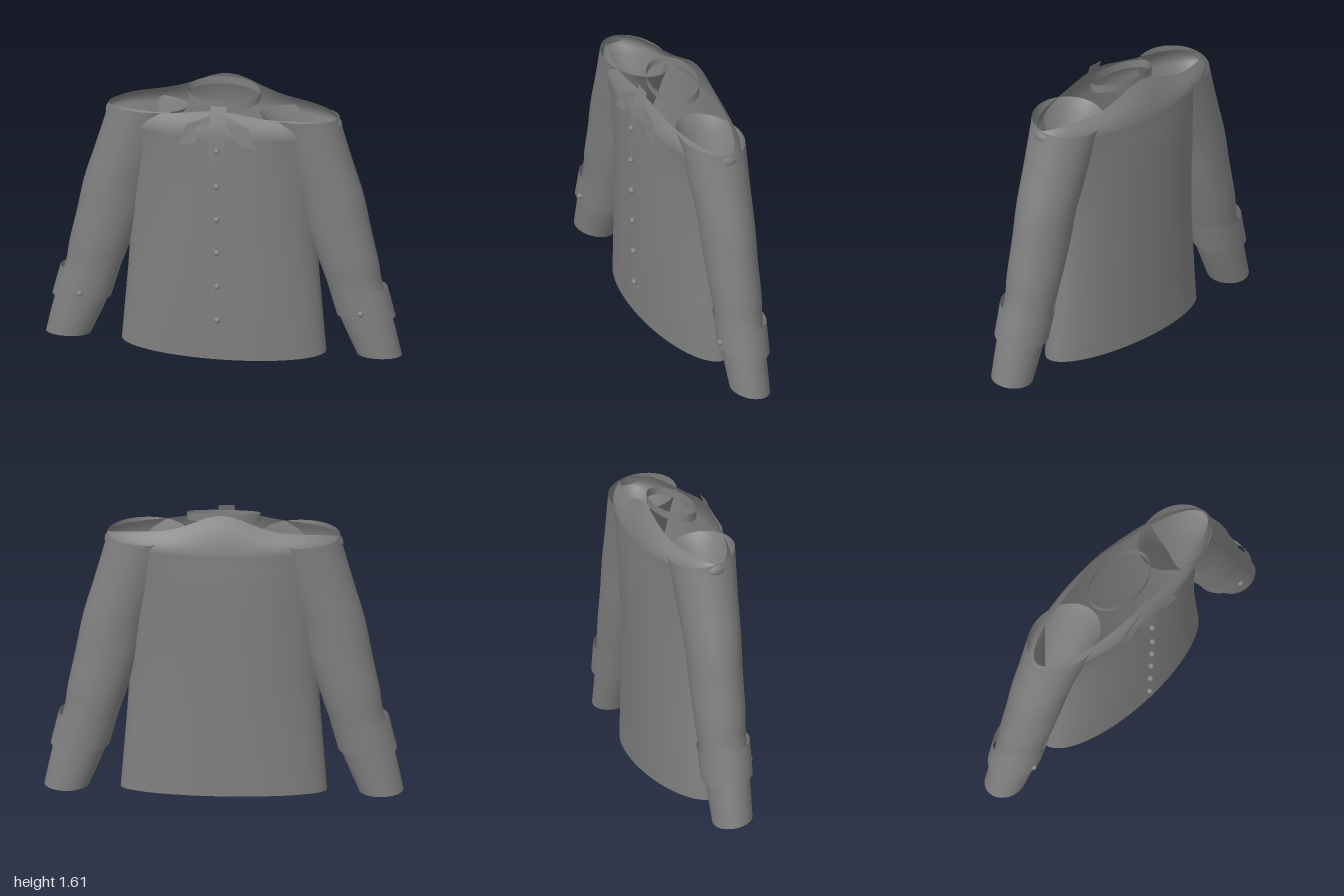
import * as THREE from 'three';

const cloth = new THREE.MeshStandardMaterial({ color: 0x808080, side: THREE.DoubleSide });
cloth.name = 'grey cloth';

// Open tube through oval rings [y, centreX, centreZ, radiusX, radiusZ], listed bottom to top.
function loft(rings, { steps = 4, sides = 56, adjust = (p) => p } = {}) {
  const rows = [];
  const cubic = (a, b, c, d, t) =>
    b + 0.5 * t * (c - a + t * (2 * a - 5 * b + 4 * c - d + t * (3 * (b - c) + d - a)));
  const last = rings.length - 1;
  for (let i = 0; i < last; i++) {
    const [a, b, c, d] = [i - 1, i, i + 1, i + 2].map((k) => rings[Math.min(Math.max(k, 0), last)]);
    for (let s = 0; s < steps; s++) rows.push(b.map((_, k) => cubic(a[k], b[k], c[k], d[k], s / steps)));
  }
  rows.push(rings[last]);
  const positions = [];
  const index = [];
  rows.forEach(([y, cx, cz, rx, rz], r) => {
    for (let j = 0; j < sides; j++) {
      const t = (j / sides) * Math.PI * 2;
      const p = adjust(new THREE.Vector3(cx + rx * Math.sin(t), y, cz + rz * Math.cos(t)));
      positions.push(p.x, p.y, p.z);
      if (r === 0) continue;
      const a = (r - 1) * sides + j;
      const b = (r - 1) * sides + ((j + 1) % sides);
      index.push(a, b, b + sides, a, b + sides, a + sides);
    }
  });
  const geometry = new THREE.BufferGeometry();
  geometry.setAttribute('position', new THREE.Float32BufferAttribute(positions, 3));
  geometry.setIndex(index);
  geometry.computeVertexNormals();
  return geometry;
}

export function createModel() {
  const model = new THREE.Group();
  model.name = 'shirt';

  const add = (name, geometry, x = 0, y = 0, z = 0) => {
    const mesh = new THREE.Mesh(geometry, cloth);
    mesh.name = name;
    mesh.position.set(x, y, z);
    model.add(mesh);
    return mesh;
  };

  // Torso: oval tube, its upper rim rising towards the neck
  const raiseNeck = (p) => {
    const k = THREE.MathUtils.clamp((p.y - 1.42) / 0.06, 0, 1);
    const bump = Math.exp(-((p.x / 0.22) ** 2));
    const shoulder = 0.03 * (1 - Math.min(1, Math.abs(p.x) / 0.64) ** 6);
    p.y += k * (shoulder + bump * (p.z > 0 ? 0.05 : 0.11));
    return p;
  };
  add('torso', loft([
    [0.02, 0, -0.025, 0.575, 0.205],
    [0.3, 0, -0.022, 0.552, 0.212],
    [0.6, 0, -0.021, 0.53, 0.219],
    [0.9, 0, -0.022, 0.53, 0.225],
    [1.2, 0, -0.024, 0.56, 0.23],
    [1.36, 0, -0.022, 0.62, 0.23],
    [1.43, 0, -0.02, 0.665, 0.226],
    [1.48, 0, -0.012, 0.645, 0.178],
  ], { sides: 80, adjust: raiseNeck }));

  // Collar: low oval band, higher at the back
  add('collar', loft([
    [1.55, 0, -0.025, 0.205, 0.125],
    [1.595, 0, -0.025, 0.205, 0.125],
  ], { steps: 1, adjust: (p) => { p.y -= p.z * 0.16; return p; } }));

  // Sleeves, cuffs and cuff buttons
  const tilt = (p) => { p.y += (p.z + 0.025) * 0.19; return p; };
  const button = new THREE.SphereGeometry(0.017, 16, 12);
  for (const [side, s] of [['left', 1], ['right', -1]]) {
    const mirror = (rings) => rings.map(([y, x, ...rest]) => [y, s * x, ...rest]);
    add(side + 'Sleeve', loft(mirror([
      [0.027, 0.875, -0.02, 0.125, 0.11],
      [0.25, 0.802, -0.02, 0.148, 0.12],
      [0.46, 0.735, -0.025, 0.155, 0.13],
      [0.6, 0.7, -0.025, 0.168, 0.14],
      [0.8, 0.645, -0.025, 0.18, 0.146],
      [1.0, 0.6, -0.025, 0.185, 0.154],
      [1.2, 0.53, -0.025, 0.195, 0.165],
      [1.4, 0.46, -0.025, 0.207, 0.178],
      [1.48, 0.425, -0.025, 0.222, 0.185],
    ]), { adjust: tilt }));
    add(side + 'Cuff', loft(mirror([
      [0.265, 0.8, -0.022, 0.164, 0.14],
      [0.445, 0.752, -0.025, 0.167, 0.145],
    ]), { steps: 2, adjust: tilt }));
    add(side + 'CuffButton', button, s * 0.79, 0.335, 0.118);
  }

  // Button strip following the chest
  const stripLine = [[0.17, 0.205], [0.5, 0.208], [0.9, 0.215], [1.25, 0.219], [1.42, 0.218], [1.5, 0.2], [1.59, 0.165]];
  const strip = new THREE.PlaneGeometry(0.09, 1, 1, stripLine.length - 1);
  const sp = strip.attributes.position;
  for (let i = 0; i < sp.count; i++) {
    const [y, z] = stripLine[stripLine.length - 1 - Math.floor(i / 2)];
    sp.setY(i, y);
    sp.setZ(i, z);
  }
  strip.computeVertexNormals();
  add('buttonStrip', strip);

  // Front buttons
  [[0.285, 0.222], [0.498, 0.226], [0.71, 0.232], [0.92, 0.238], [1.13, 0.243], [1.348, 0.24]]
    .forEach(([y, z], i) => add('frontButton' + (i + 1), button, 0, y, z));

  // Neck ribbon tails
  const tail = [[0.045, 1.54], [0.18, 1.48], [0.22, 1.355], [0.13, 1.375], [0.045, 1.49]];
  for (const [side, s] of [['left', 1], ['right', -1]]) {
    const shape = new THREE.Shape(tail.map(([x, y]) => new THREE.Vector2(s * x, y)));
    const geometry = new THREE.ShapeGeometry(shape);
    const p = geometry.attributes.position;
    for (let i = 0; i < p.count; i++) p.setZ(i, 0.212 - Math.max(0, p.getY(i) - 1.45) * 0.3);
    geometry.computeVertexNormals();
    add(side + 'RibbonTail', geometry);
  }

  return model;
}
